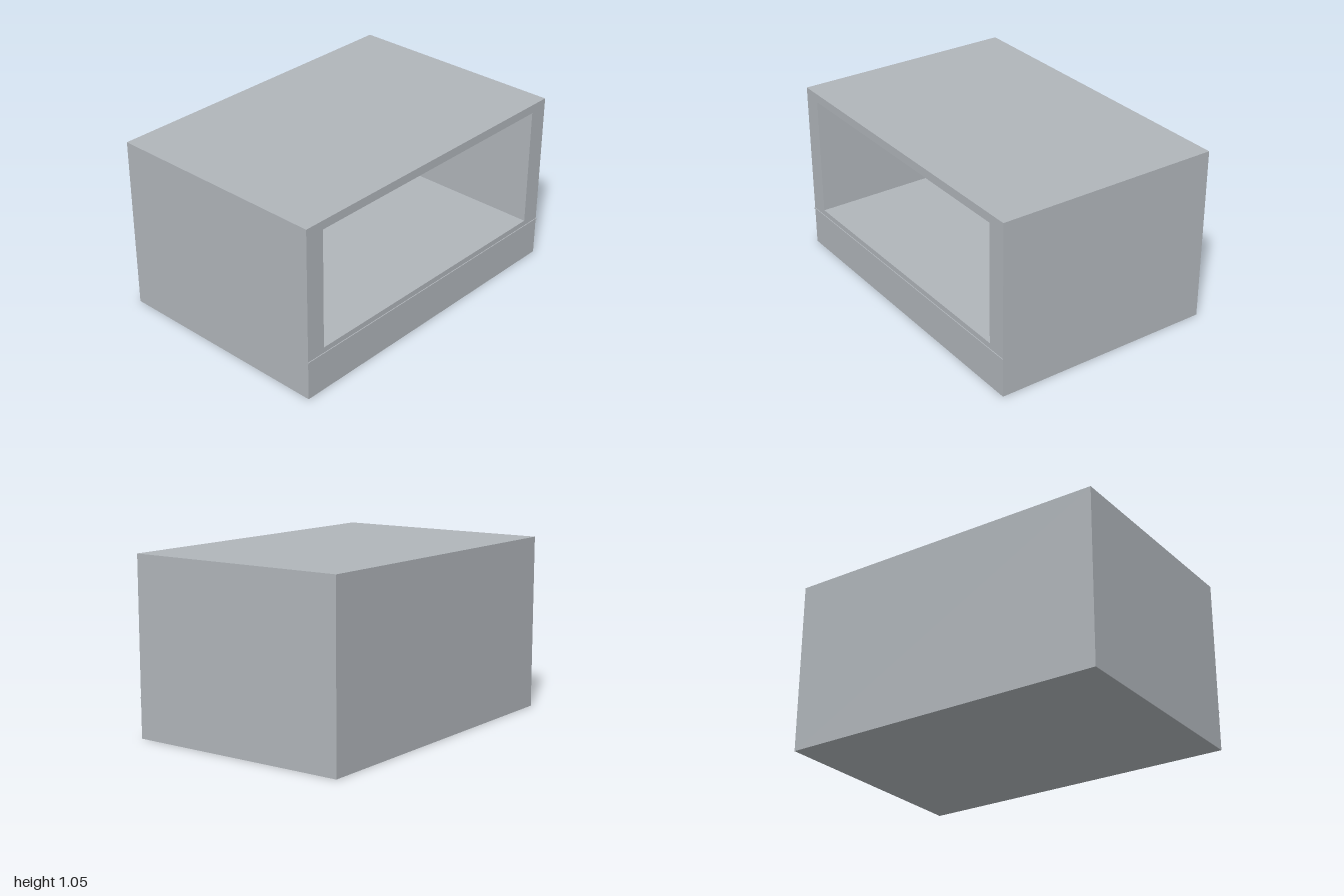
import * as THREE from 'three';

const FRONT = 0.68, BACK = -0.683, HEIGHT = 1.047;
const OPENING = { x: 0.88, bottom: 0.272, top: 0.995, back: -0.387 };

// Box without its front face; inward turns the remaining faces to the inside
function openBox(halfWidth, bottom, top, back, inward) {
  const geo = new THREE.BoxGeometry(2 * halfWidth, top - bottom, FRONT - back);
  geo.translate(0, (top + bottom) / 2, (FRONT + back) / 2);
  const index = Array.from(geo.index.array).filter((_, i) => i < 24 || i >= 30);
  if (inward) {
    index.reverse();
    const n = geo.attributes.normal;
    for (let i = 0; i < n.count; i++) n.setXYZ(i, -n.getX(i), -n.getY(i), -n.getZ(i));
  }
  geo.setIndex(index);
  geo.clearGroups();
  return geo;
}

function rectangle(path, halfWidth, bottom, top) {
  path.moveTo(-halfWidth, bottom);
  path.lineTo(halfWidth, bottom);
  path.lineTo(halfWidth, top);
  path.lineTo(-halfWidth, top);
  path.closePath();
  return path;
}

export function createModel() {
  const group = new THREE.Group();
  group.name = 'openFrontCabinet';
  const grey = new THREE.MeshStandardMaterial({ color: 0xb0b5ba });
  grey.name = 'grey';

  const add = (name, geometry) => {
    const mesh = new THREE.Mesh(geometry, grey);
    mesh.name = name;
    group.add(mesh);
    return mesh;
  };

  // Outer shell and the recessed compartment
  const { x, bottom, top, back } = OPENING;
  add('casing', openBox(1, 0, HEIGHT, BACK, false));
  add('compartment', openBox(x, bottom, top, back, true));

  // Front face around the opening
  const face = rectangle(new THREE.Shape(), 1, 0, HEIGHT);
  face.holes.push(rectangle(new THREE.Path(), x, bottom, top));
  add('frontFrame', new THREE.ShapeGeometry(face)).position.z = FRONT;

  // Slim trim strip below the opening
  add('trimStrip', new THREE.BoxGeometry(2, 0.008, 0.005)).position.set(0, 0.235, FRONT + 0.0025);

  return group;
}
